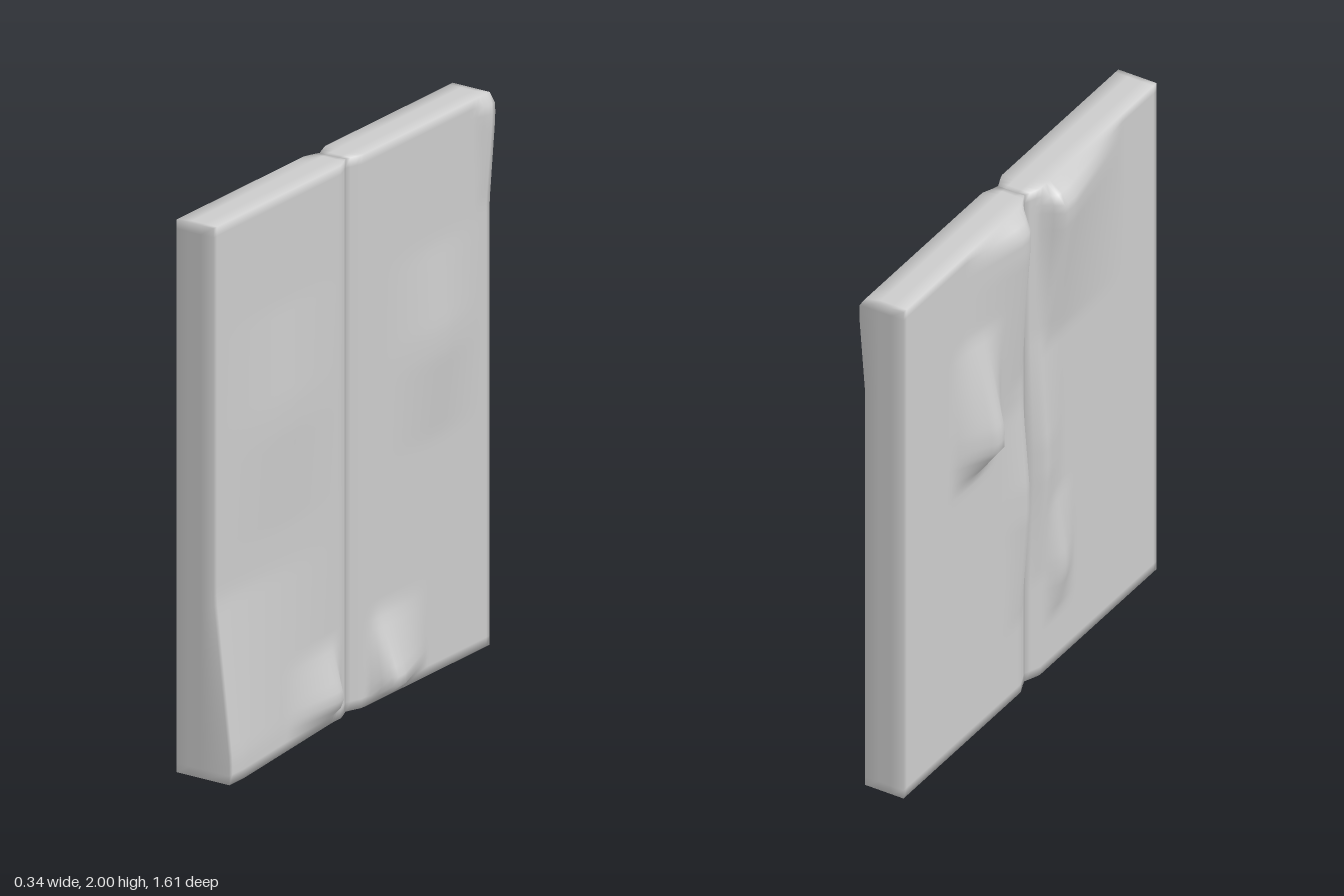
import * as THREE from 'three';
import { mergeVertices } from 'three/addons/utils/BufferGeometryUtils.js';

// Ridge: peak at (y, z) of height h, fading linearly [down, up] in y and [back, front] in z
const ridge = (y, z, h, [down, up], [back, front]) => (py, pz) => {
  const fy = 1 - Math.abs(py - y) / (py < y ? down : up);
  const fz = 1 - Math.abs(pz - z) / (pz < z ? back : front);
  return fy > 0 && fz > 0 ? h * Math.min(1, 1.15 * fy) * Math.min(1, 1.15 * fz) : 0;
};

// Warps and loosened skin on the +x and -x faces of each panel
const frontLeft = [
  ridge(0, 0.81, 0.065, [1, 0.65], [0.7, 1]),
  ridge(0.09, 0.13, 0.055, [0.07, 0.2], [0.06, 0.3]),
  ridge(1.2, 0.4, 0.015, [0.4, 0.4], [0.35, 0.35]),
];
const frontRight = [
  ridge(1.94, 0.11, 0.075, [0.6, 0.06], [0.05, 0.48]),
  ridge(0.4, 0.16, 0.04, [0.2, 0.3], [0.08, 0.12]),
  ridge(0.9, 0.06, 0.03, [0.5, 0.5], [0.06, 0.15]),
];
const backLeft = [
  ridge(0.06, -0.16, 0.085, [0.05, 0.26], [0.28, 0.07]),
  ridge(1.2, -0.5, 0.025, [0.35, 0.35], [0.26, 0.3]),
  ridge(1.96, -0.76, 0.025, [0.35, 0.04], [0.25, 0.04]),
];
const backRight = [
  ridge(1.94, -0.1, 0.06, [0.75, 0.06], [0.3, 0.08]),
  ridge(1.22, -0.34, 0.1, [0.16, 0.42], [0.17, 0.13]),
  ridge(0.8, -0.06, 0.035, [0.5, 0.5], [0.12, 0.05]),
];

// One warped slab with softly shaded edges, chamfered where it meets the seam
function panelGeometry(z0, z1, leftRidges, rightRidges) {
  const geometry = new THREE.BoxGeometry(3, 2, z1 - z0, 3, 60, 40);
  const p = geometry.attributes.position;
  const sum = (list, y, z) => list.reduce((total, f) => total + f(y, z), 0);
  for (let i = 0; i < p.count; i++) {
    const side = p.getX(i);
    const y = p.getY(i) + 1;
    const z = p.getZ(i) + (z0 + z1) / 2;
    const chamfer = 0.025 * Math.max(0, 1 - Math.abs(z) / 0.06);
    let x = 0.008 + Math.sign(side) * 0.025;
    if (side > 1) x = 0.085 - chamfer + sum(leftRidges, y, z);
    if (side < -1) x = -0.068 + chamfer - sum(rightRidges, y, z);
    p.setXYZ(i, x, y, z);
  }
  // Share the corners so the shading rolls round every edge
  geometry.deleteAttribute('normal');
  geometry.deleteAttribute('uv');
  const merged = mergeVertices(geometry, 1e-5);
  merged.computeVertexNormals();
  return merged;
}

export function createModel() {
  const group = new THREE.Group();
  const grey = new THREE.MeshStandardMaterial({ color: 0xcccccc });
  grey.name = 'plain grey';

  const add = (name, geometry) => {
    const mesh = new THREE.Mesh(geometry, grey);
    mesh.name = name;
    group.add(mesh);
  };
  add('frontPanel', panelGeometry(0.004, 0.807, frontLeft, frontRight));
  add('backPanel', panelGeometry(-0.807, 0.002, backLeft, backRight));
  return group;
}
